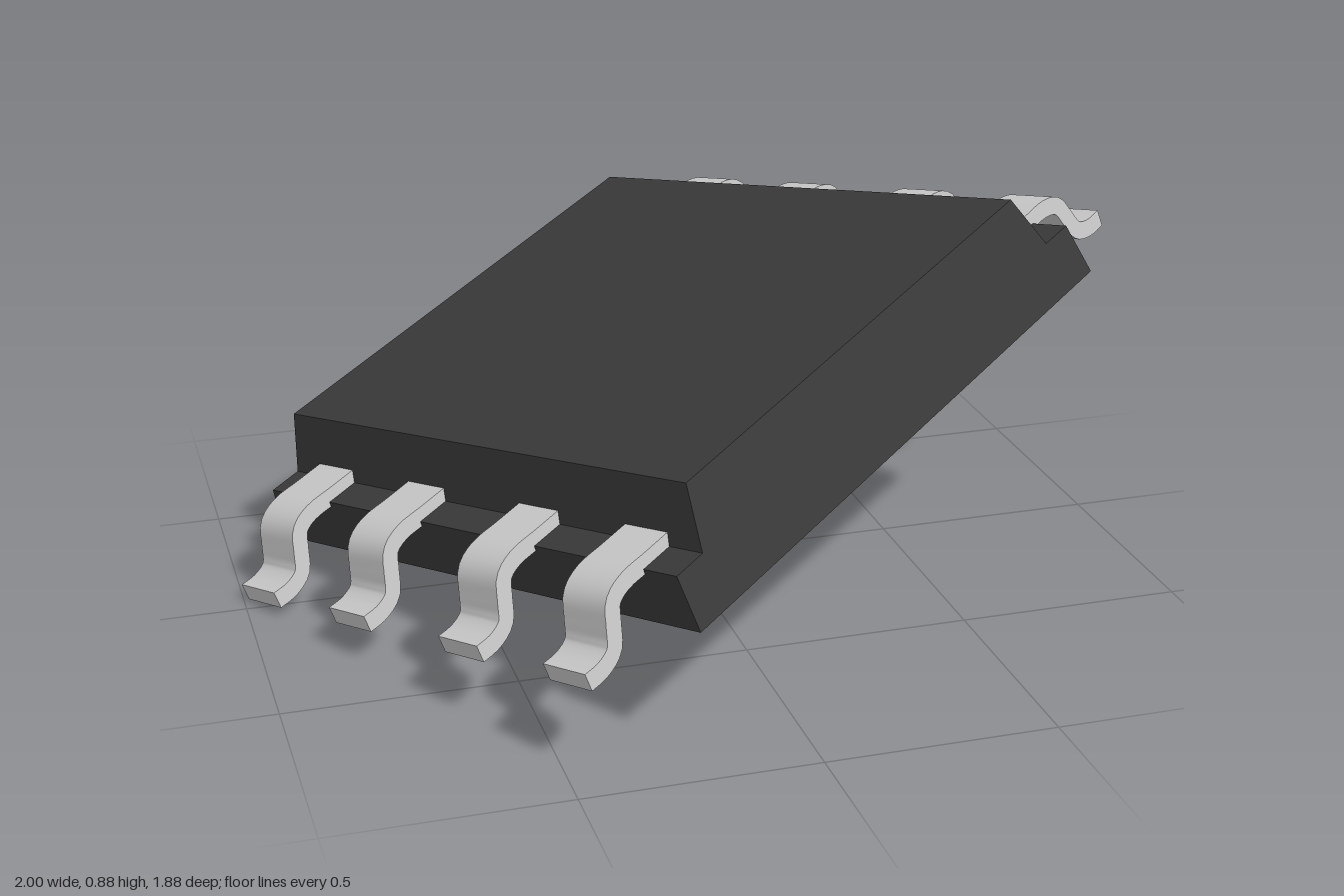
import * as THREE from 'three';
import { toCreasedNormals } from 'three/addons/utils/BufferGeometryUtils.js';

const bodyMat = new THREE.MeshStandardMaterial({ color: 0x3a3a3a });
const leadMat = new THREE.MeshStandardMaterial({ color: 0xcccccc });

// Stepped package: hat profile extruded front to back, end faces leaning inwards
function packageGeometry() {
  const half = [[0.682, 0], [0.67, 0.122], [0.592, 0.122], [0.55, 0.255]];
  const outline = [...half, ...half.map(([x, y]) => [-x, y]).reverse()];
  const shape = new THREE.Shape(outline.map(([x, y]) => new THREE.Vector2(x, y)));
  const geo = new THREE.ExtrudeGeometry(shape, { depth: 1, bevelEnabled: false });
  const p = geo.attributes.position;
  for (let i = 0; i < p.count; i++) {
    const depth = 0.682 - 0.165 * p.getY(i);
    p.setZ(i, p.getZ(i) > 0.5 ? depth : -depth);
  }
  geo.computeVertexNormals();
  return geo;
}

// Gull-wing lead: constant-thickness strip along an S-curve
function leadGeometry(width, thickness) {
  const path = new THREE.SplineCurve([
    [0.57, 0.13], [0.65, 0.13], [0.72, 0.13], [0.765, 0.112], [0.785, 0.07],
    [0.805, 0.027], [0.845, 0.01], [0.89, 0.01],
  ].map(([x, y]) => new THREE.Vector2(x, y)));
  const upper = [], lower = [];
  const steps = 24;
  for (let i = 0; i <= steps; i++) {
    const c = path.getPoint(i / steps);
    const t = path.getTangent(i / steps);
    const n = new THREE.Vector2(-t.y, t.x).multiplyScalar(thickness / 2);
    upper.push(c.clone().add(n));
    lower.push(c.clone().sub(n));
  }
  const shape = new THREE.Shape([...lower, ...upper.reverse()]);
  const geo = new THREE.ExtrudeGeometry(shape, { depth: width, bevelEnabled: false });
  geo.translate(0, 0, -width / 2);
  return toCreasedNormals(geo, 0.7);
}

export function createModel() {
  const model = new THREE.Group();
  model.name = 'surfaceMountChip';

  const chip = new THREE.Group();
  chip.name = 'chip';
  // Turned 30 degrees, then tilted 20 degrees sideways
  chip.rotation.set(0, Math.PI / 6, THREE.MathUtils.degToRad(20), 'ZYX');
  chip.position.y = 0.372;
  model.add(chip);

  const body = new THREE.Mesh(packageGeometry(), bodyMat);
  body.name = 'package';
  chip.add(body);

  // Four leads on each side
  const leadGeo = leadGeometry(0.122, 0.04);
  for (const side of [1, -1]) {
    const row = new THREE.Group();
    row.name = side > 0 ? 'leftLeads' : 'rightLeads';
    row.rotation.y = side > 0 ? 0 : Math.PI;
    [-0.508, -0.185, 0.185, 0.508].forEach((z, i) => {
      const lead = new THREE.Mesh(leadGeo, leadMat);
      lead.name = `lead${i + 1}`;
      lead.position.z = z;
      row.add(lead);
    });
    chip.add(row);
  }
  return model;
}
